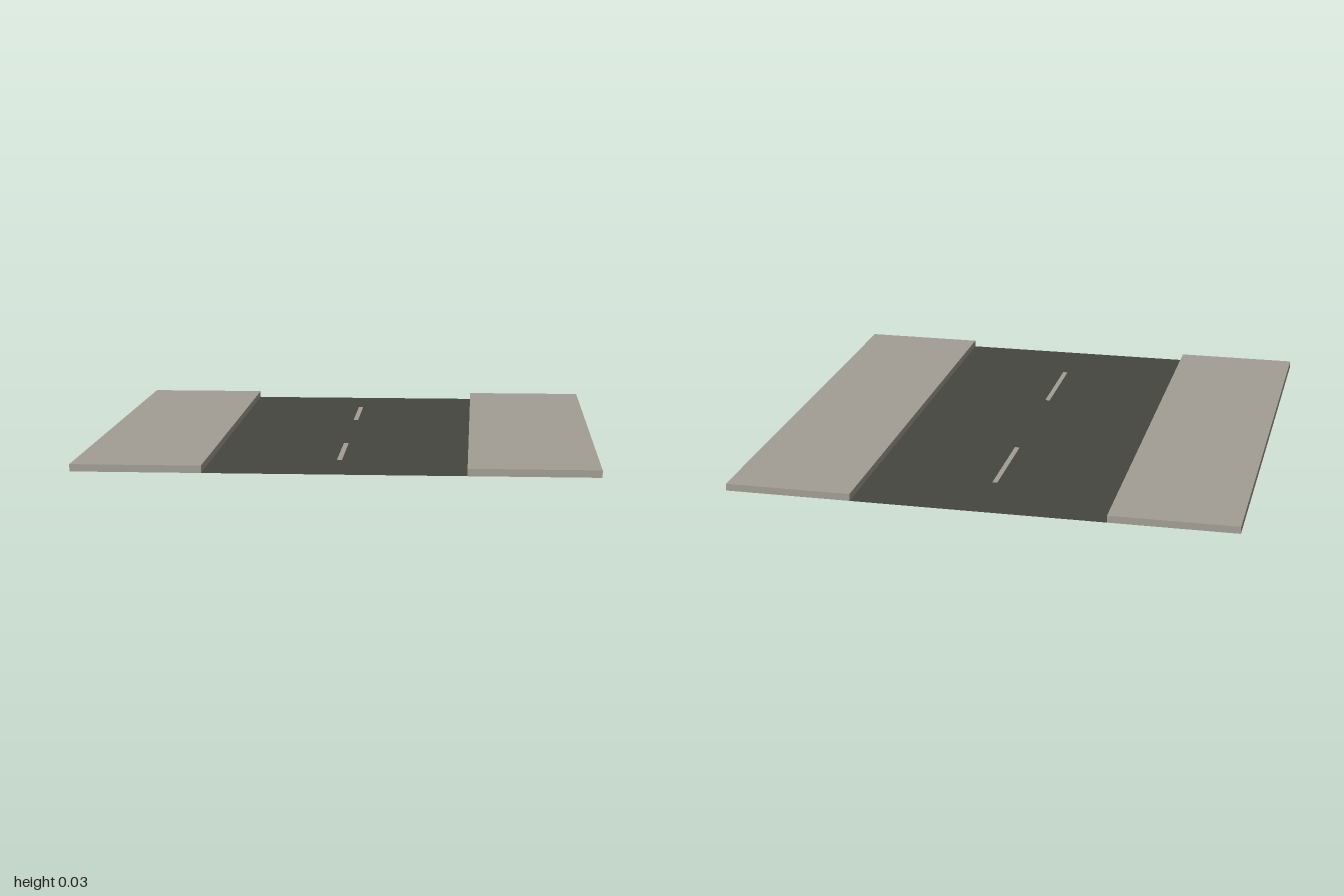
import * as THREE from 'three';

export function createModel() {
  const group = new THREE.Group();
  const asphalt = new THREE.MeshStandardMaterial({ name: 'asphalt', color: 0x45463f, side: THREE.DoubleSide });
  const concrete = new THREE.MeshStandardMaterial({ name: 'concrete', color: 0xa29e95 });

  const add = (name, geometry, material, x, y, z) => {
    const mesh = new THREE.Mesh(geometry, material);
    mesh.name = name;
    mesh.position.set(x, y, z);
    group.add(mesh);
  };

  // Flat road sheet between the pavements
  add('road', new THREE.PlaneGeometry(1, 2).rotateX(-Math.PI / 2), asphalt, 0, 0, 0);

  // Raised pavement slabs and centre line dashes
  const slab = new THREE.BoxGeometry(0.5, 0.028, 2);
  const dash = new THREE.PlaneGeometry(0.02, 0.4).rotateX(-Math.PI / 2);
  for (const [side, s] of [['left', 1], ['right', -1]]) {
    add(side + 'Pavement', slab, concrete, s * 0.75, 0.014, 0);
  }
  for (const [end, s] of [['front', 1], ['back', -1]]) {
    add(end + 'LaneDash', dash, concrete, 0, 0.002, s * 0.5);
  }
  return group;
}
